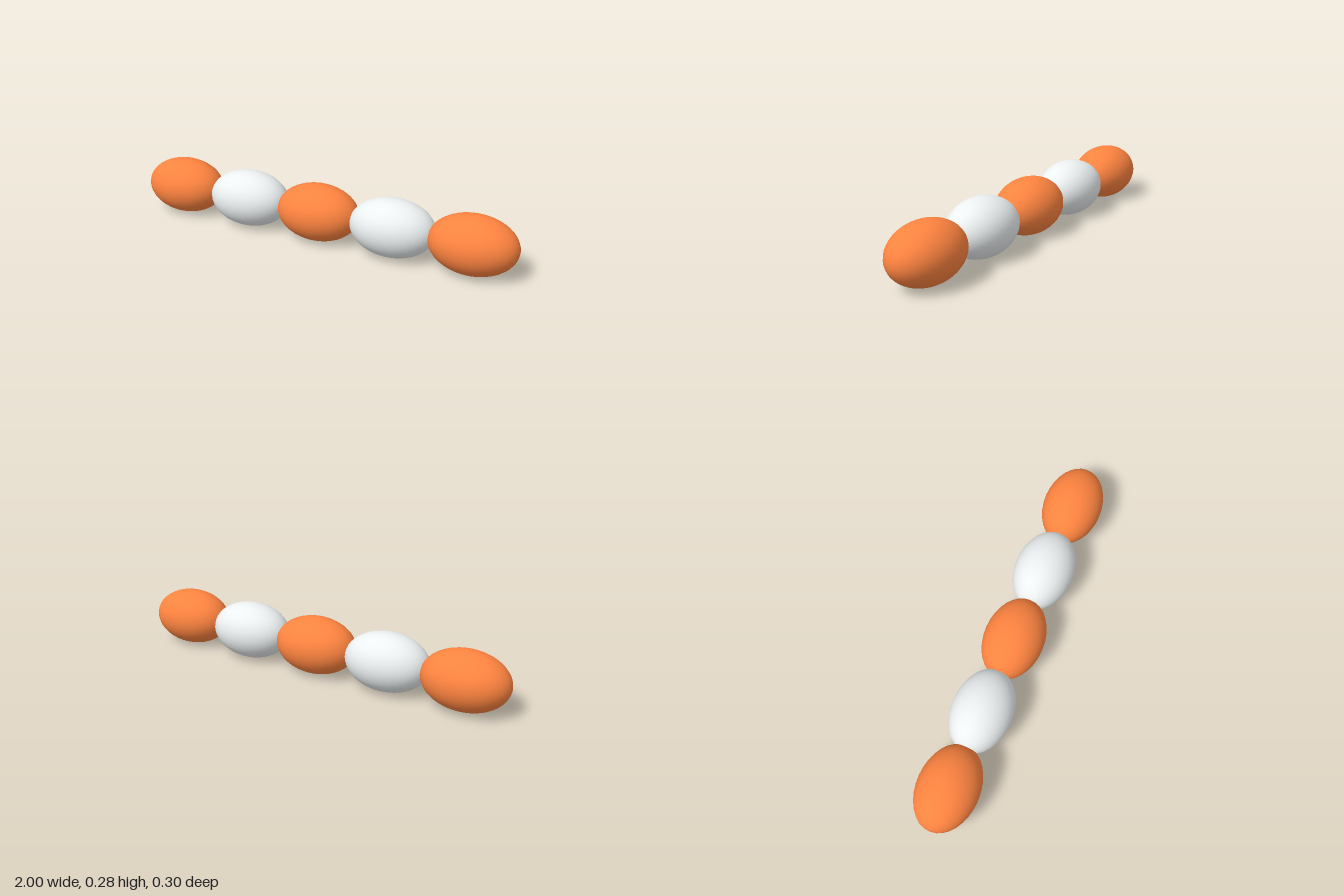
import * as THREE from 'three';

export function createModel() {
  const model = new THREE.Group();
  model.name = 'beadChain';

  const orange = new THREE.MeshStandardMaterial({ color: 0xff8440 });
  const white = new THREE.MeshStandardMaterial({ color: 0xecf0f1 });

  // One egg-shaped bead, slightly flattened in height
  const radii = [0.212, 0.14, 0.148];
  const spacing = 0.394;
  const beadGeometry = new THREE.SphereGeometry(1, 32, 24).scale(...radii);

  // Five overlapping beads in a row, alternating colours
  for (let i = -2; i <= 2; i++) {
    const isOrange = i % 2 === 0;
    const bead = new THREE.Mesh(beadGeometry, isOrange ? orange : white);
    bead.name = `${isOrange ? 'orange' : 'white'}Bead${i + 3}`;
    bead.position.set(i * spacing, radii[1], 0);
    model.add(bead);
  }
  return model;
}
